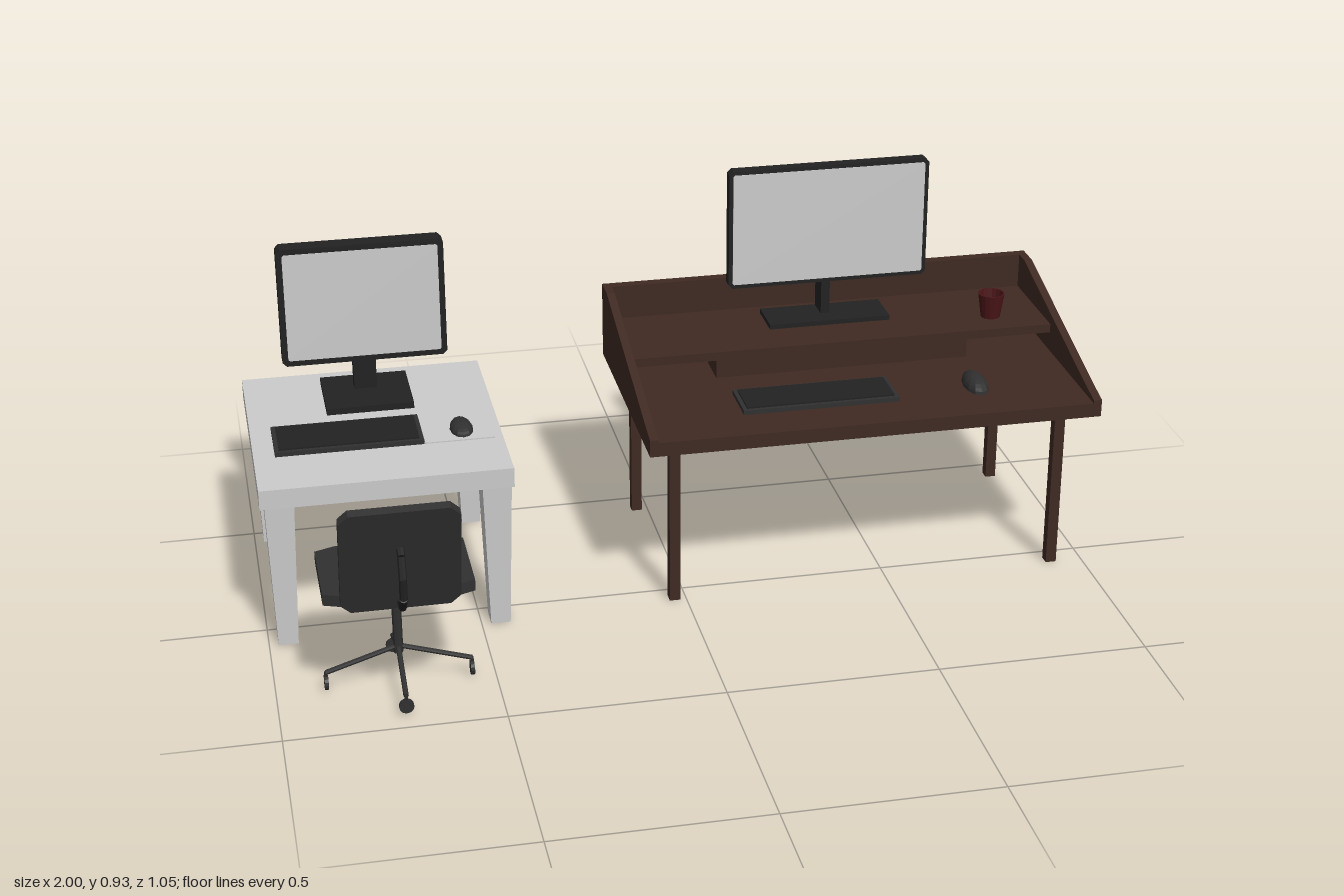
import * as THREE from 'three';

const mat = (color) => new THREE.MeshStandardMaterial({ color, flatShading: true });
const grey = mat(0xcccccc), black = mat(0x222222), charcoal = mat(0x303030), wood = mat(0x3f2a22);
const red = mat(0x4a1518);
red.side = THREE.DoubleSide;

function add(parent, name, geometry, material, x = 0, y = 0, z = 0) {
  const mesh = new THREE.Mesh(geometry, material);
  mesh.name = name;
  mesh.position.set(x, y, z);
  parent.add(mesh);
  return mesh;
}

// Box given by its limits on each axis
function box(parent, name, material, [x0, x1], [y0, y1], [z0, z1]) {
  return add(parent, name, new THREE.BoxGeometry(x1 - x0, y1 - y0, z1 - z0), material,
    (x0 + x1) / 2, (y0 + y1) / 2, (z0 + z1) / 2);
}

function group(parent, name, x = 0, y = 0, z = 0) {
  const g = new THREE.Group();
  g.name = name;
  g.position.set(x, y, z);
  parent.add(g);
  return g;
}

// Upright plate with cut corners, centred on the origin
function plate(w, h, d, cx, cy = cx) {
  const a = w / 2, b = h / 2;
  const pts = [[a - cx, -b], [a, -b + cy], [a, b - cy], [a - cx, b], [-a + cx, b], [-a, b - cy], [-a, -b + cy], [-a + cx, -b]];
  const shape = new THREE.Shape(pts.map(p => new THREE.Vector2(...p)));
  return new THREE.ExtrudeGeometry(shape, { depth: d, bevelEnabled: false }).translate(0, 0, -d / 2);
}

// Box whose vertices on one side of an axis are scaled towards the middle
function taper(geometry, axis, side, s, t) {
  const p = geometry.attributes.position, others = [0, 1, 2].filter(i => i !== axis);
  for (let i = 0; i < p.count; i++) {
    if (p.getComponent(i, axis) * side <= 0) continue;
    p.setComponent(i, others[0], p.getComponent(i, others[0]) * s);
    p.setComponent(i, others[1], p.getComponent(i, others[1]) * t);
  }
  geometry.computeVertexNormals();
  return geometry;
}

// Straight round bar between two points
function bar(parent, name, material, a, b, r) {
  const from = new THREE.Vector3(...a), to = new THREE.Vector3(...b);
  const dir = to.clone().sub(from);
  const m = add(parent, name, new THREE.CylinderGeometry(r, r, dir.length(), 8), material);
  m.position.copy(from).add(to).multiplyScalar(0.5);
  m.quaternion.setFromUnitVectors(new THREE.Vector3(0, 1, 0), dir.normalize());
  return m;
}

// Low domed shell with a narrower front
function mouse(parent, x, y, z, w, h, l) {
  const geo = new THREE.SphereGeometry(1, 12, 6, 0, Math.PI * 2, 0, Math.PI / 2);
  const p = geo.attributes.position;
  for (let i = 0; i < p.count; i++) {
    const u = p.getZ(i);
    p.setXYZ(i, p.getX(i) * w / 2 * (0.92 + 0.08 * u), p.getY(i) * h, u * l / 2);
  }
  geo.computeVertexNormals();
  add(parent, 'mouse', geo, charcoal, x, y, z);
}

// Keyboard with a thin raised key field
function keyboard(parent, xs, y, zs) {
  const g = group(parent, 'keyboard');
  box(g, 'keyboardBody', charcoal, xs, [y, y + 0.011], zs);
  box(g, 'keyField', black, [xs[0] + 0.01, xs[1] - 0.01], [y + 0.011, y + 0.015], [zs[0] + 0.01, zs[1] - 0.01]);
}

// Framed screen, front face at local z = 0
function screen(parent, w, h, d, border) {
  add(parent, 'monitorCase', plate(w, h, d, 0.01), black, 0, 0, -d / 2);
  add(parent, 'screen', plate(w - border * 2, h - border * 2, 0.002, 0.004), grey, 0, 0, 0.0005);
}

function smallDesk(root) {
  const g = group(root, 'smallDesk');
  box(g, 'deskTop', grey, [-1, -0.415], [0.367, 0.415], [-0.525, 0.1]);
  for (const x of [-0.955, -0.455]) for (const z of [0.052, -0.476]) {
    add(g, 'deskLeg', taper(new THREE.BoxGeometry(0.068, 0.365, 0.084), 1, -1, 0.68, 0.7), grey, x, 0.1845, z);
  }
  keyboard(g, [-0.95, -0.602], 0.415, [-0.215, -0.07]);
  box(g, 'mousePad', grey, [-0.6, -0.435], [0.415, 0.418], [-0.215, -0.07]);
  mouse(g, -0.507, 0.418, -0.133, 0.06, 0.02, 0.105);

  const m = group(g, 'smallDeskMonitor', -0.707, 0.67, -0.345);
  screen(m, 0.397, 0.3, 0.042, 0.014);
  add(m, 'monitorBack', taper(new THREE.BoxGeometry(0.375, 0.285, 0.032), 2, -1, 0.56, 0.63), black, 0, 0, -0.057);
  box(g, 'monitorNeck', black, [-0.735, -0.68], [0.425, 0.64], [-0.415, -0.38]);
  box(g, 'monitorBase', black, [-0.812, -0.602], [0.415, 0.431], [-0.465, -0.275]);
}

function largeDesk(root) {
  const g = group(root, 'largeDesk');
  box(g, 'deskFloor', wood, [-0.1, 1], [0.42, 0.455], [-0.49, 0.12]);
  // Sloping side walls
  const pts = [[0.12, 0.421], [0.12, 0.463], [0.06, 0.477], [-0.425, 0.61], [-0.49, 0.61], [-0.49, 0.421]];
  const shape = new THREE.Shape(pts.map(p => new THREE.Vector2(...p)));
  for (const x of [-0.1, 0.98]) {
    const geo = new THREE.ExtrudeGeometry(shape, { depth: 0.02, bevelEnabled: false });
    geo.rotateY(-Math.PI / 2).translate(x + 0.02, 0, 0);
    add(g, 'sideWall', geo, wood);
  }
  box(g, 'backWall', wood, [-0.08, 0.98], [0.45, 0.61], [-0.49, -0.465]);
  // Raised rear shelf with an open cubby at each end
  box(g, 'shelfTop', wood, [-0.08, 0.98], [0.502, 0.524], [-0.465, -0.208]);
  box(g, 'shelfCore', wood, [0.13, 0.765], [0.455, 0.503], [-0.465, -0.21]);
  for (const x of [-0.028, 0.922]) for (const z of [0.043, -0.442]) {
    box(g, 'deskLeg', wood, [x - 0.013, x + 0.013], [0, 0.425], [z - 0.013, z + 0.013]);
  }
  keyboard(g, [0.148, 0.53], 0.455, [-0.112, 0.012]);
  mouse(g, 0.734, 0.455, -0.042, 0.062, 0.03, 0.126);

  const m = group(g, 'largeDeskMonitor', 0.442, 0.78, -0.349);
  screen(m, 0.502, 0.305, 0.027, 0.01);
  box(g, 'monitorMount', black, [0.4, 0.484], [0.67, 0.75], [-0.4, -0.375]);
  box(g, 'monitorNeck', black, [0.431, 0.453], [0.53, 0.73], [-0.423, -0.398]);
  box(g, 'monitorNeckFoot', black, [0.431, 0.453], [0.53, 0.65], [-0.4, -0.365]);
  box(g, 'monitorBase', black, [0.29, 0.596], [0.524, 0.536], [-0.425, -0.318]);

  // Open cup
  const cup = [[0, 0], [0.024, 0], [0.033, 0.062], [0.029, 0.062], [0.021, 0.005], [0, 0.005]];
  add(g, 'cup', new THREE.LatheGeometry(cup.map(p => new THREE.Vector2(...p)), 16), red, 0.85, 0.524, -0.29);
}

function chair(root) {
  const g = group(root, 'officeChair', -0.72, 0, 0.31);
  // Seat and leaning backrest
  add(g, 'seat', plate(0.337, 0.238, 0.027, 0.045, 0.017).rotateX(-Math.PI / 2), charcoal, 0, 0.29, -0.004);
  const back = group(g, 'backrest', 0, 0.408, 0.157);
  back.rotation.x = 0.266;
  add(back, 'backPad', plate(0.264, 0.282, 0.022, 0.022), charcoal);
  for (const y of [-0.05, 0.0, 0.06]) {
    add(back, 'backButton', new THREE.CylinderGeometry(0.008, 0.008, 0.004, 8).rotateX(Math.PI / 2), black, 0, y, -0.012);
  }
  // Bent bracket joining seat and backrest
  const path = [[0.1, 0.283], [0.168, 0.29], [0.2, 0.328], [0.206, 0.382], [0.19, 0.427], [0.152, 0.452]];
  for (let i = 1; i < path.length; i++) {
    const [z0, y0] = path[i - 1], [z1, y1] = path[i];
    bar(g, 'backBracket', black, [0, y0, z0], [0, y1, z1], 0.009);
  }
  // Column and four-star base with casters
  bar(g, 'upperColumn', charcoal, [0, 0.15, 0], [0, 0.28, 0], 0.008);
  bar(g, 'lowerColumn', charcoal, [0, 0.085, 0], [0, 0.2, 0], 0.011);
  for (let i = 0; i < 4; i++) {
    const arm = group(g, 'baseArm');
    arm.rotation.y = i * Math.PI / 2;
    const r = i % 2 ? 0.138 : 0.166;
    bar(arm, 'baseSpoke', charcoal, [0, 0.102, 0], [r, 0.05, 0], 0.006);
    bar(arm, 'casterStem', charcoal, [r, 0.052, 0], [r, 0.025, 0], 0.004);
    add(arm, 'caster', new THREE.CylinderGeometry(0.017, 0.017, 0.009, 14).rotateZ(Math.PI / 2), charcoal, r, 0.024, 0);
  }
}

export function createModel() {
  const root = new THREE.Group();
  root.name = 'workstations';
  smallDesk(root);
  largeDesk(root);
  chair(root);
  return root;
}
